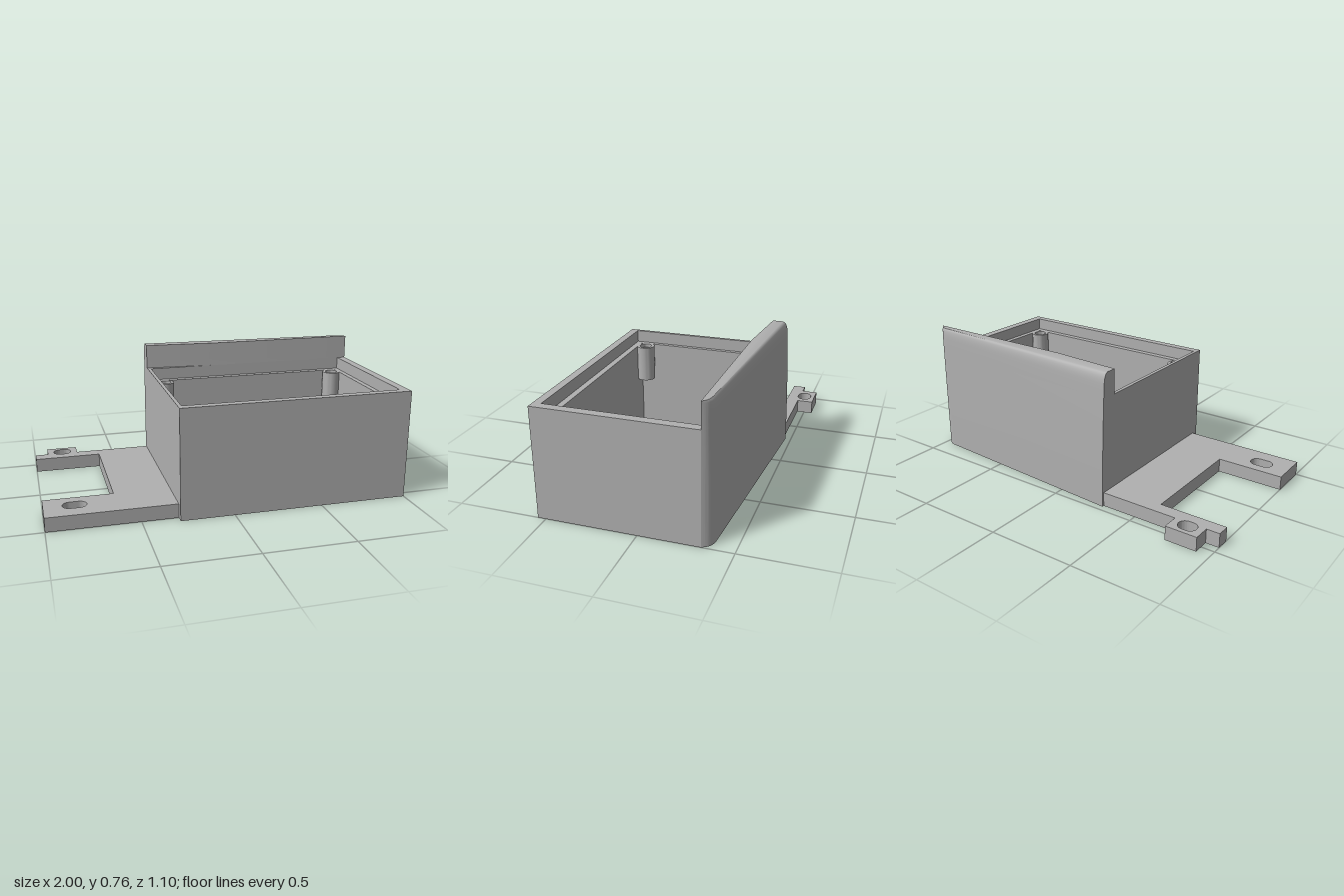
import * as THREE from 'three';
import { toCreasedNormals } from 'three/addons/utils/BufferGeometryUtils.js';

const grey = new THREE.MeshStandardMaterial({ color: 0xb0b0b0 });
grey.name = 'grey plastic';

// Shape from [x, z] corners
const outline = (pts) => new THREE.Shape(pts.map(([x, z]) => new THREE.Vector2(x, z)));

// Horizontal slab of a shape drawn in x and z, from y0 to y1
function slab(shape, y0, y1, steps = 1) {
  const geo = new THREE.ExtrudeGeometry(shape, { depth: y1 - y0, steps, bevelEnabled: false, curveSegments: 16 });
  return geo.rotateX(Math.PI / 2).translate(0, y1, 0);
}

// Rounded slot hole centred on x, z
function slot(x, z, length, width) {
  const r = width / 2, d = length / 2 - r;
  const path = new THREE.Path();
  path.absarc(x + d, z, r, -Math.PI / 2, Math.PI / 2, false);
  path.absarc(x - d, z, r, Math.PI / 2, Math.PI * 1.5, false);
  path.closePath();
  return path;
}

const BACK = -0.33; // plane where the box frame meets the curved back

// How far the back leans in at height y, with a rounded top edge
function lean(y) {
  const u = Math.min(1, Math.max(0, (y - 0.7) / 0.06));
  return 0.1 * (y / 0.62) ** 2 + 0.2 * (1 - Math.sqrt(1 - u * u));
}

// Slanted back section with a rounded corner, leaning in as it rises
function backSection(inner, levels) {
  const shape = outline(inner);
  shape.lineTo(-0.3, -0.467);
  shape.lineTo(0.92, -0.386);
  shape.bezierCurveTo(0.97, -0.383, 0.985, -0.36, 1, BACK);
  const n = levels.length - 1;
  const geo = slab(shape, 0, 1, n);
  const p = geo.attributes.position;
  for (let i = 0; i < p.count; i++) {
    const y = levels[Math.round(p.getY(i) * n)];
    const x = p.getX(i), z = p.getZ(i);
    p.setY(i, y);
    if (x > 0.5 || z < -0.361) p.setZ(i, BACK + (z - BACK) * (1 - lean(y)));
  }
  return toCreasedNormals(geo, 0.6);
}

export function createModel() {
  const model = new THREE.Group();
  const add = (name, geo) => {
    const mesh = new THREE.Mesh(geo, grey);
    mesh.name = name;
    model.add(mesh);
    return mesh;
  };

  // Box walls, open from top to bottom
  const walls = outline([[-0.3, BACK], [1, BACK], [1, 0.545], [-0.3, 0.545]]);
  walls.holes.push(new THREE.Path(
    [[-0.255, -0.295], [-0.255, 0.465], [0.92, 0.465], [0.92, -0.295]].map(([x, z]) => new THREE.Vector2(x, z))));
  add('boxWalls', slab(walls, 0, 0.55));

  // Thinner rim that leaves a ledge for a lid
  add('lidRim', slab(outline([
    [-0.3, BACK], [-0.28, BACK], [-0.28, 0.5], [0.95, 0.5],
    [0.95, BACK], [1, BACK], [1, 0.545], [-0.3, 0.545],
  ]), 0.55, 0.62));

  // Curved back and the fin that rises above the box
  add('curvedBack', backSection([[1, BACK], [-0.3, BACK]], [0, 0.16, 0.31, 0.47, 0.62]));
  add('backFin', backSection([[1, BACK], [0.1, BACK], [-0.3, -0.36]],
    [0.62, 0.66, 0.7, 0.72, 0.735, 0.747, 0.755, 0.76]));

  // Screw posts in the four corners
  const postProfile = [
    [0.02, 0.34], [0.053, 0.34], [0.053, 0.551], [0.036, 0.551],
    [0.036, 0.53], [0.02, 0.53], [0.02, 0.34],
  ].map(([r, y]) => new THREE.Vector2(r, y));
  const postGeo = toCreasedNormals(new THREE.LatheGeometry(postProfile, 32), 0.6);
  for (const x of [-0.21, 0.875])
    for (const z of [-0.25, 0.42]) add('screwPost', postGeo).position.set(x, 0, z);

  // Mounting plate with two slotted arms
  const plate = outline([
    [-0.3, 0.5], [-1, 0.5], [-1, 0.27], [-0.615, 0.27], [-0.615, -0.38], [-1, -0.38],
    [-1, -0.455], [-0.925, -0.455], [-0.925, -0.55], [-0.745, -0.55], [-0.745, -0.455], [-0.3, -0.455],
  ]);
  plate.holes.push(slot(-0.835, 0.37, 0.13, 0.083), slot(-0.835, -0.483, 0.105, 0.083));
  add('mountingPlate', toCreasedNormals(slab(plate, 0, 0.08), 0.6));

  return model;
}
